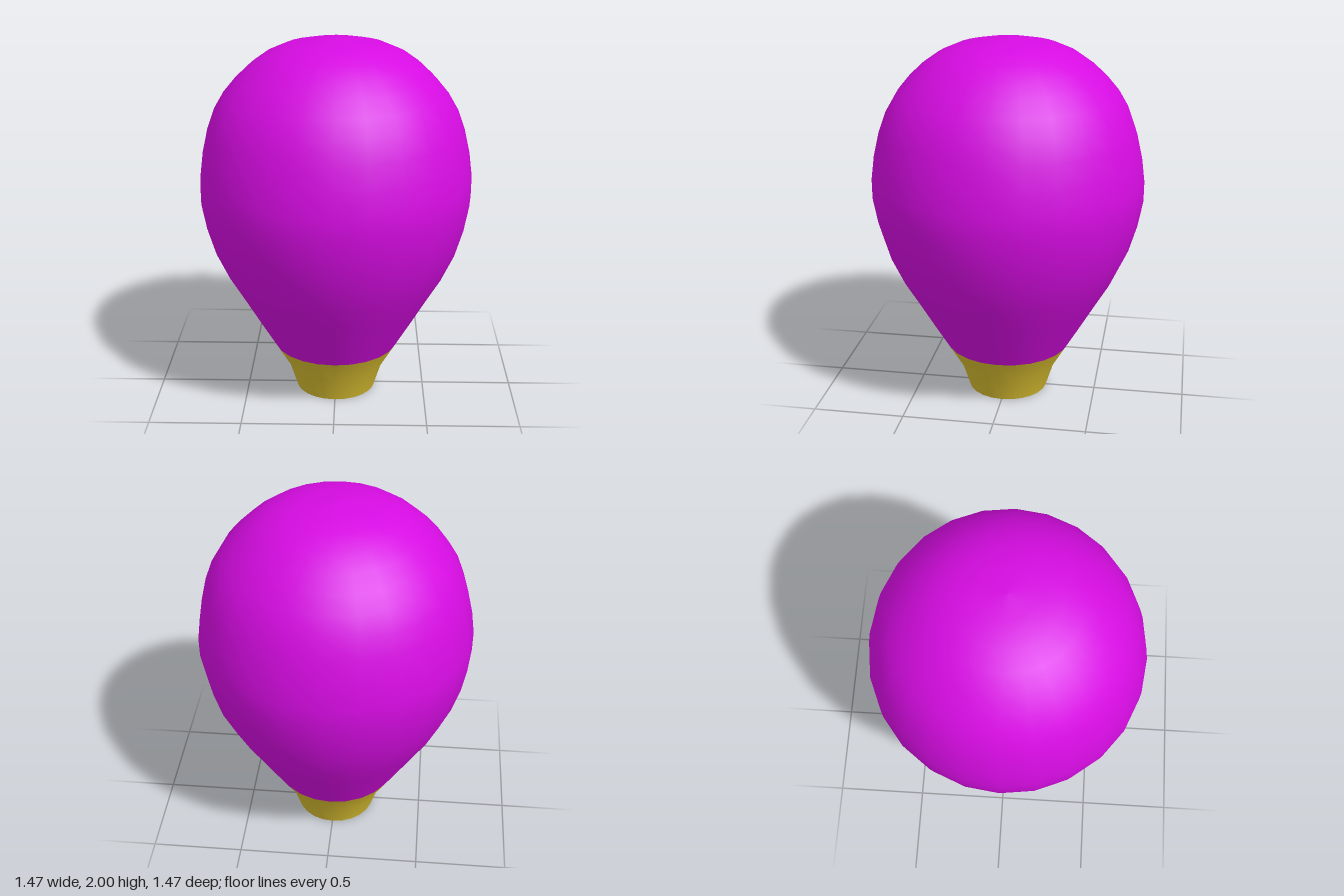
import * as THREE from 'three';

const SEGMENTS = 24;

// Open surface of revolution from [radius, height] pairs, bottom to top
function revolve(name, profile, material) {
  const points = profile.map(([r, y]) => new THREE.Vector2(r, y));
  const mesh = new THREE.Mesh(new THREE.LatheGeometry(points, SEGMENTS), material);
  mesh.name = name;
  return mesh;
}

export function createModel() {
  const purple = new THREE.MeshStandardMaterial({ name: 'purple', color: 0xd60ce2, side: THREE.DoubleSide });
  const gold = new THREE.MeshStandardMaterial({ name: 'gold', color: 0xd6bc30, side: THREE.DoubleSide });

  const group = new THREE.Group();
  group.name = 'balloon';

  // Flared collar, open at the bottom
  group.add(revolve('collar', [[0.22, 0], [0.265, 0.14], [0.345, 0.275]], gold));

  // Hollow envelope, closed at the crown
  group.add(revolve('envelope', [
    [0.345, 0.275], [0.428, 0.415], [0.512, 0.56], [0.595, 0.7],
    [0.665, 0.85], [0.71, 1.0], [0.736, 1.14], [0.737, 1.25],
    [0.72, 1.38], [0.69, 1.51], [0.65, 1.62], [0.597, 1.71],
    [0.53, 1.79], [0.455, 1.86], [0.37, 1.92], [0.265, 1.965],
    [0.14, 1.99], [0, 2],
  ], purple));

  return group;
}
